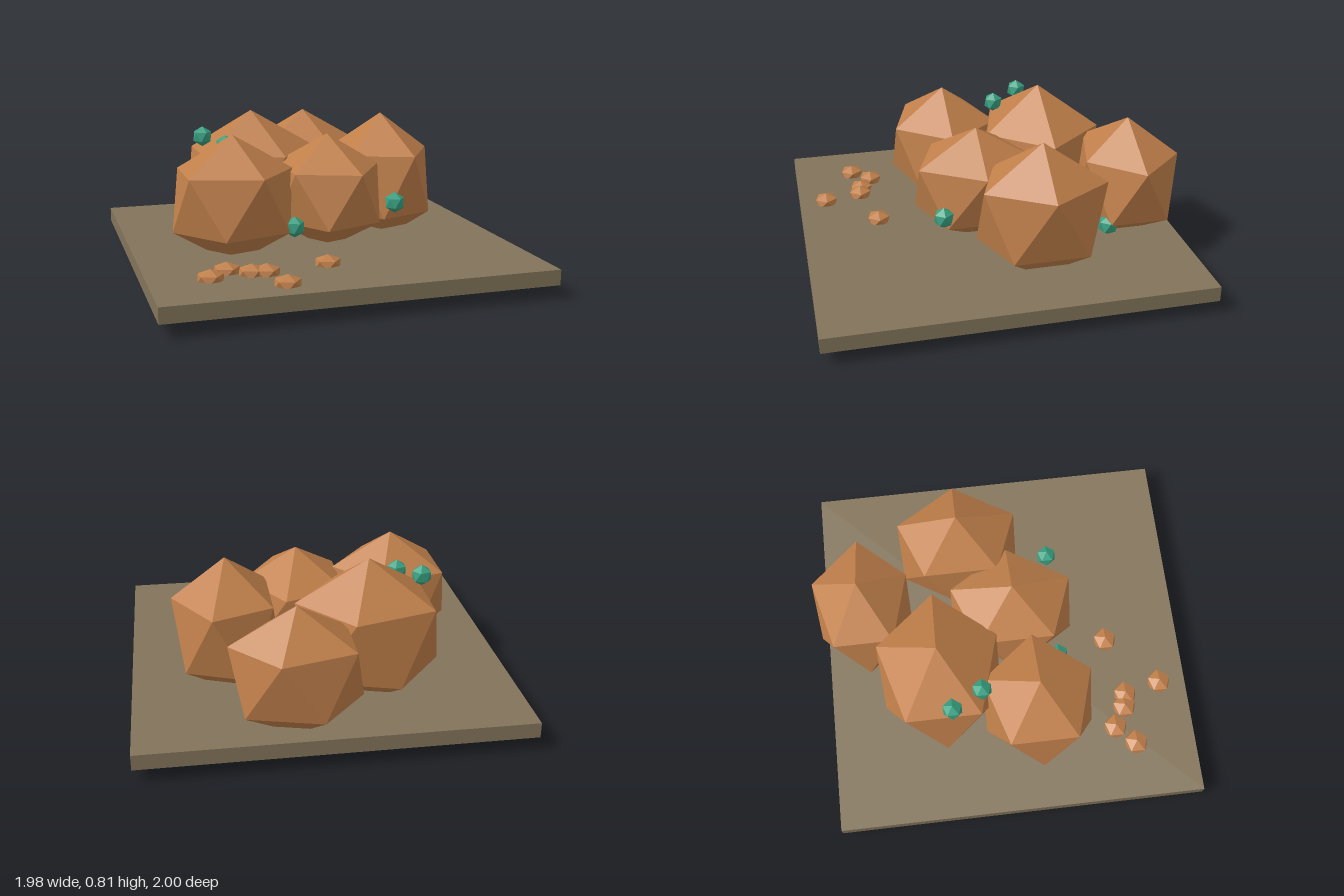
import * as THREE from 'three';

const mat = (name, color) => {
  const m = new THREE.MeshStandardMaterial({ color, flatShading: true });
  m.name = name;
  return m;
};

export function createModel() {
  const group = new THREE.Group();
  const clay = mat('clay orange', 0xc07f4a);
  const earth = mat('earth brown', 0x83745a);
  const jade = mat('jade green', 0x37a081);

  // Icosahedron standing on a corner, with a corner of its upper ring towards +x
  const stoneShape = new THREE.IcosahedronGeometry(1, 0);
  stoneShape.rotateZ(-Math.atan(2 / (1 + Math.sqrt(5))));

  const addStone = (name, material, [x, y, z], [rx, ry, rz]) => {
    const stone = new THREE.Mesh(stoneShape, material);
    stone.name = name;
    stone.position.set(x, y, z);
    stone.scale.set(rx, ry, rz);
    group.add(stone);
  };

  // Ground slab
  const slab = new THREE.Mesh(new THREE.BoxGeometry(1.976, 0.08, 1.976), earth);
  slab.name = 'groundSlab';
  slab.position.set(0, 0.11, 0.01);
  group.add(slab);

  // Boulders: centre, radii
  [
    [[-0.24, 0.405, -0.36], [0.425, 0.405, 0.375]],
    [[0.18, 0.405, -0.745], [0.37, 0.345, 0.3]],
    [[0.48, 0.41, -0.19], [0.315, 0.38, 0.378]],
    [[-0.46, 0.41, 0.145], [0.36, 0.345, 0.336]],
    [[0.08, 0.405, 0.065], [0.325, 0.32, 0.38]],
  ].forEach(([p, r]) => addStone('boulder', clay, p, r));

  // Small green crystals between the boulders
  [
    [-0.53, 0.68, -0.31],
    [-0.435, 0.65, -0.15],
    [-0.17, 0.28, 0.3],
    [0.385, 0.375, 0.3],
    [0.4, 0.235, -0.585],
  ].forEach((p) => addStone('crystal', jade, p, [0.056, 0.056, 0.056]));

  // Flattened pebbles in front
  [
    [-0.69, 0.67],
    [-0.59, 0.57],
    [-0.48, 0.635],
    [-0.41, 0.65],
    [-0.08, 0.585],
    [-0.36, 0.85],
  ].forEach(([x, z]) => addStone('pebble', clay, [x, 0.157, z], [0.074, 0.047, 0.069]));

  return group;
}
